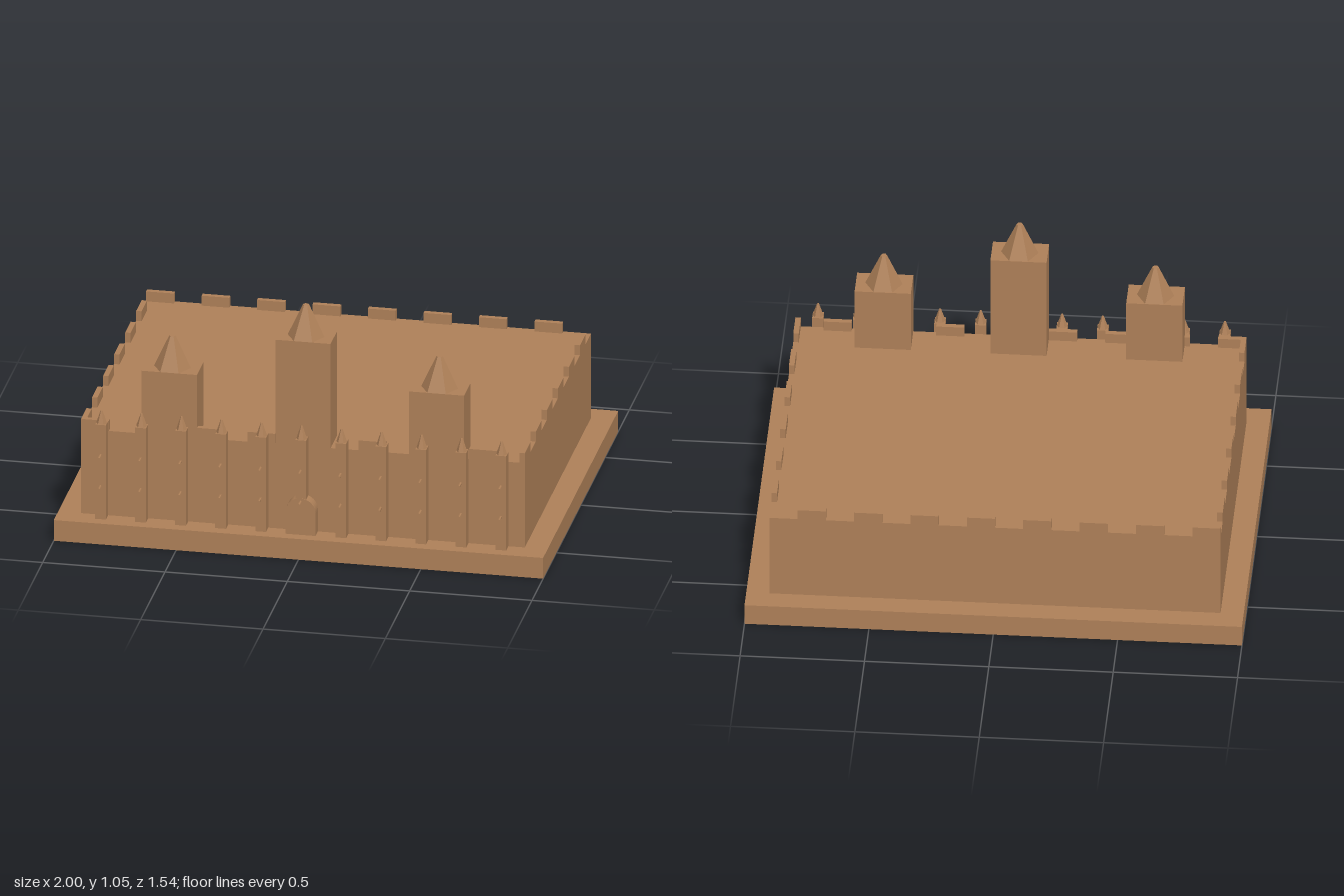
import * as THREE from 'three';

const sandstone = new THREE.MeshStandardMaterial({ color: 0xae8058, flatShading: true, side: THREE.DoubleSide });
sandstone.name = 'sandstone';

const BASE_TOP = 0.09, ROOF = 0.457, PARAPET = 0.5;
const HALF_X = 0.907, HALF_Z = 0.68;

export function createModel() {
  const model = new THREE.Group();
  model.name = 'fortress';

  function add(parent, name, geometry, x = 0, y = 0, z = 0) {
    const mesh = new THREE.Mesh(geometry, sandstone);
    mesh.name = name;
    mesh.position.set(x, y, z);
    parent.add(mesh);
    return mesh;
  }

  // Box between two corners, left open underneath
  function block(parent, name, x0, x1, y0, y1, z0, z1) {
    const geometry = new THREE.BoxGeometry(x1 - x0, y1 - y0, z1 - z0);
    const index = Array.from(geometry.index.array);
    index.splice(18, 6);
    geometry.setIndex(index);
    geometry.clearGroups();
    return add(parent, name, geometry, (x0 + x1) / 2, (y0 + y1) / 2, (z0 + z1) / 2);
  }

  // Six-sided blunt spire with corners on the x axis
  function spire(parent, name, radius, tip, height, x, y, z) {
    const geometry = new THREE.CylinderGeometry(tip, radius, height, 6).rotateY(Math.PI / 6);
    add(parent, name, geometry, x, y + height / 2, z);
  }

  // Hollow plinth and main block
  block(model, 'plinth', -1, 1, 0, BASE_TOP, -0.772, 0.772);
  block(model, 'mainBlock', -HALF_X, HALF_X, BASE_TOP, ROOF, -HALF_Z, HALF_Z);

  // Battlements along all four walls
  const battlements = new THREE.Group();
  battlements.name = 'battlements';
  model.add(battlements);
  const pitch = 0.2267, width = pitch / 2, thick = 0.022;
  for (let i = 0; i < 8; i++) {
    const x = -HALF_X + i * pitch;
    block(battlements, 'frontMerlon', x, x + width, ROOF, PARAPET, HALF_Z - thick, HALF_Z);
    block(battlements, 'backMerlon', x, x + width, ROOF, PARAPET, -HALF_Z, -HALF_Z + thick);
  }
  for (let i = 0; i < 6; i++) {
    const z = HALF_Z - i * pitch;
    block(battlements, 'leftMerlon', HALF_X - thick, HALF_X, ROOF, PARAPET, z - width, z);
    block(battlements, 'rightMerlon', -HALF_X, -HALF_X + thick, ROOF, PARAPET, z - width, z);
  }

  // Three towers with spires
  for (const [name, x, top] of [['rightTower', -0.546, 0.73], ['middleTower', 0, 0.91], ['leftTower', 0.546, 0.73]]) {
    const tower = new THREE.Group();
    tower.name = name;
    model.add(tower);
    block(tower, 'towerShaft', x - 0.113, x + 0.113, ROOF, top, 0.547, HALF_Z);
    spire(tower, 'towerSpire', 0.075, 0.013, 0.136, x, top, 0.614);
  }

  // Row of pilasters, each with a pinnacle and two projecting beams
  for (let i = -5; i <= 5; i++) {
    const x = i * 0.1636;
    const pilaster = new THREE.Group();
    pilaster.name = 'pilaster';
    model.add(pilaster);
    block(pilaster, 'pilasterShaft', x - 0.022, x + 0.022, BASE_TOP, PARAPET, HALF_Z, 0.726);
    spire(pilaster, 'pinnacle', 0.022, 0.004, 0.055, x, PARAPET, 0.704);
    for (const y of [0.234, 0.368]) {
      const beam = new THREE.CylinderGeometry(0.005, 0.005, 0.04, 8).rotateX(Math.PI / 2);
      add(pilaster, 'beam', beam, x, y, 0.744);
    }
  }

  // Arched doorway
  const arch = new THREE.Shape();
  arch.moveTo(-0.061, BASE_TOP);
  arch.lineTo(0.061, BASE_TOP);
  arch.lineTo(0.061, 0.187);
  arch.absarc(0, 0.187, 0.061, 0, Math.PI, false);
  arch.closePath();
  add(model, 'doorway', new THREE.ExtrudeGeometry(arch, { depth: 0.048, bevelEnabled: false, curveSegments: 12 }), 0, 0, HALF_Z);

  return model;
}
